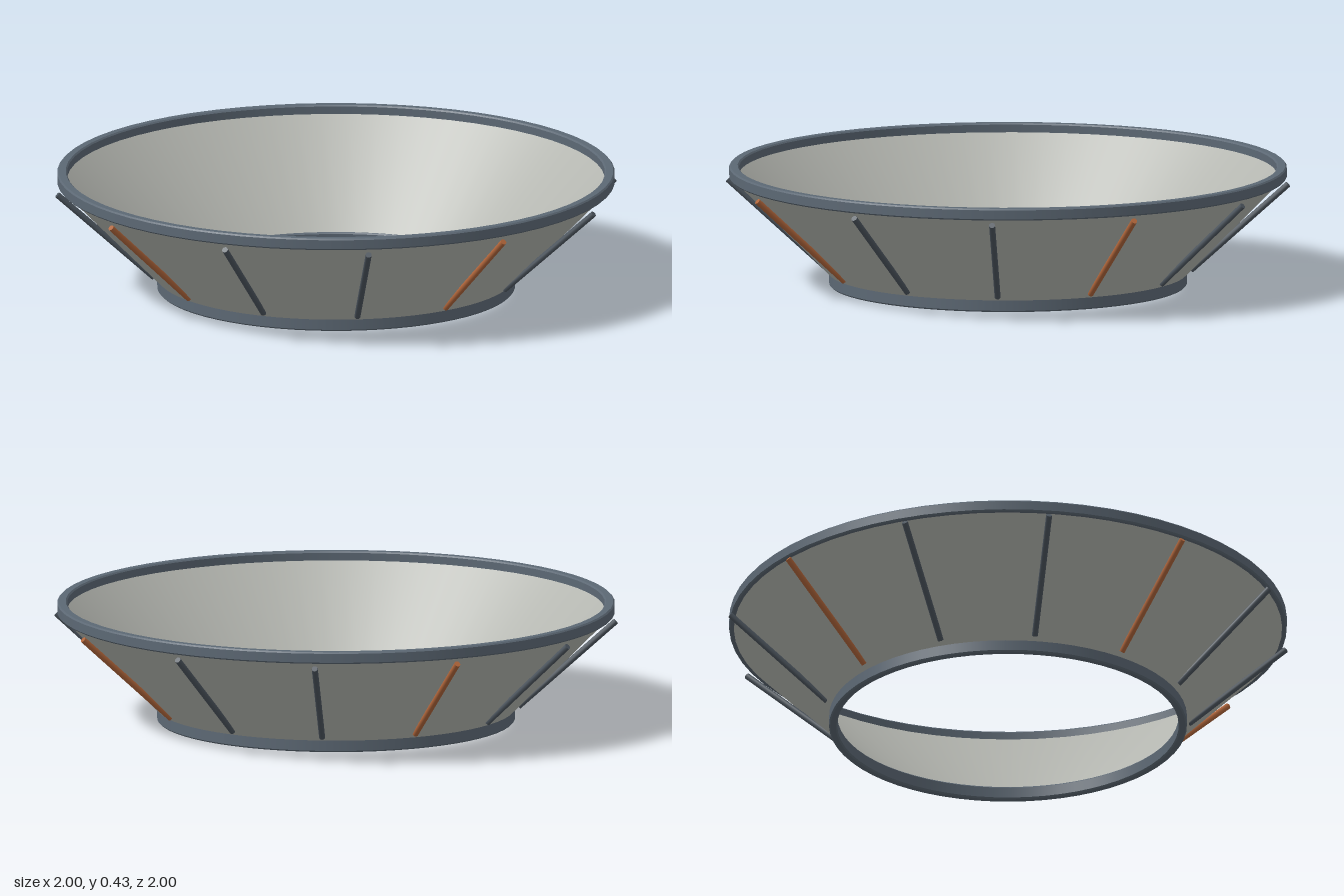
import * as THREE from 'three';

const paint = (name, color, side = THREE.FrontSide) => {
  const m = new THREE.MeshStandardMaterial({ color, side });
  m.name = name;
  return m;
};

const SEGMENTS = 64;

// Ring with a lightly chamfered rectangular section, each face creased
function ringBand(name, inner, outer, low, high, material) {
  const c = 0.005;
  const section = [
    [inner, high - c], [inner, low + c], [inner + c, low], [outer - c, low],
    [outer, low + c], [outer, high - c], [outer - c, high], [inner + c, high],
  ];
  return closedLathe(name, section, material);
}

// Revolves a closed section; one lathe per side keeps the edges sharp
function closedLathe(name, section, material) {
  const group = new THREE.Group();
  group.name = name;
  section.forEach((a, i) => {
    const b = section[(i + 1) % section.length];
    const points = [new THREE.Vector2(...a), new THREE.Vector2(...b)];
    const mesh = new THREE.Mesh(new THREE.LatheGeometry(points, SEGMENTS), material);
    mesh.name = name + 'Face';
    group.add(mesh);
  });
  return group;
}

export function createModel() {
  const model = new THREE.Group();
  model.name = 'flaredRing';

  const shellGrey = paint('shell grey', 0xb4b6b0, THREE.DoubleSide);
  const trimBlue = paint('trim blue grey', 0x5c6874, THREE.DoubleSide);
  const ribDark = paint('rib dark grey', 0x4c555e);
  const ribCopper = paint('rib copper', 0xb0653a);

  // Flared conical wall
  model.add(closedLathe('shell', [
    [0.605, 0.04], [0.63, 0.04], [0.98, 0.395], [0.952, 0.395],
  ], shellGrey));

  // Upper and lower rims
  model.add(ringBand('topRim', 0.95, 0.985, 0.383, 0.425, trimBlue));
  model.add(ringBand('bottomRim', 0.603, 0.632, 0, 0.048, trimBlue));

  // Twelve sloping ribs, every third one copper
  const foot = new THREE.Vector3(0, 0.057, 0.647);
  const head = new THREE.Vector3(0, 0.367, 0.991);
  const slope = head.clone().sub(foot);
  const ribGeometry = new THREE.CylinderGeometry(0.011, 0.011, slope.length(), 10);
  for (let i = 0; i < 12; i++) {
    const spoke = new THREE.Group();
    spoke.name = 'ribMount';
    const rib = new THREE.Mesh(ribGeometry, i % 3 === 0 ? ribCopper : ribDark);
    rib.name = i % 3 === 0 ? 'copperRib' : 'darkRib';
    rib.position.copy(foot).add(head).multiplyScalar(0.5);
    rib.rotation.x = Math.atan2(slope.z, slope.y);
    spoke.add(rib);
    spoke.rotation.y = (i * Math.PI) / 6;
    model.add(spoke);
  }
  return model;
}
